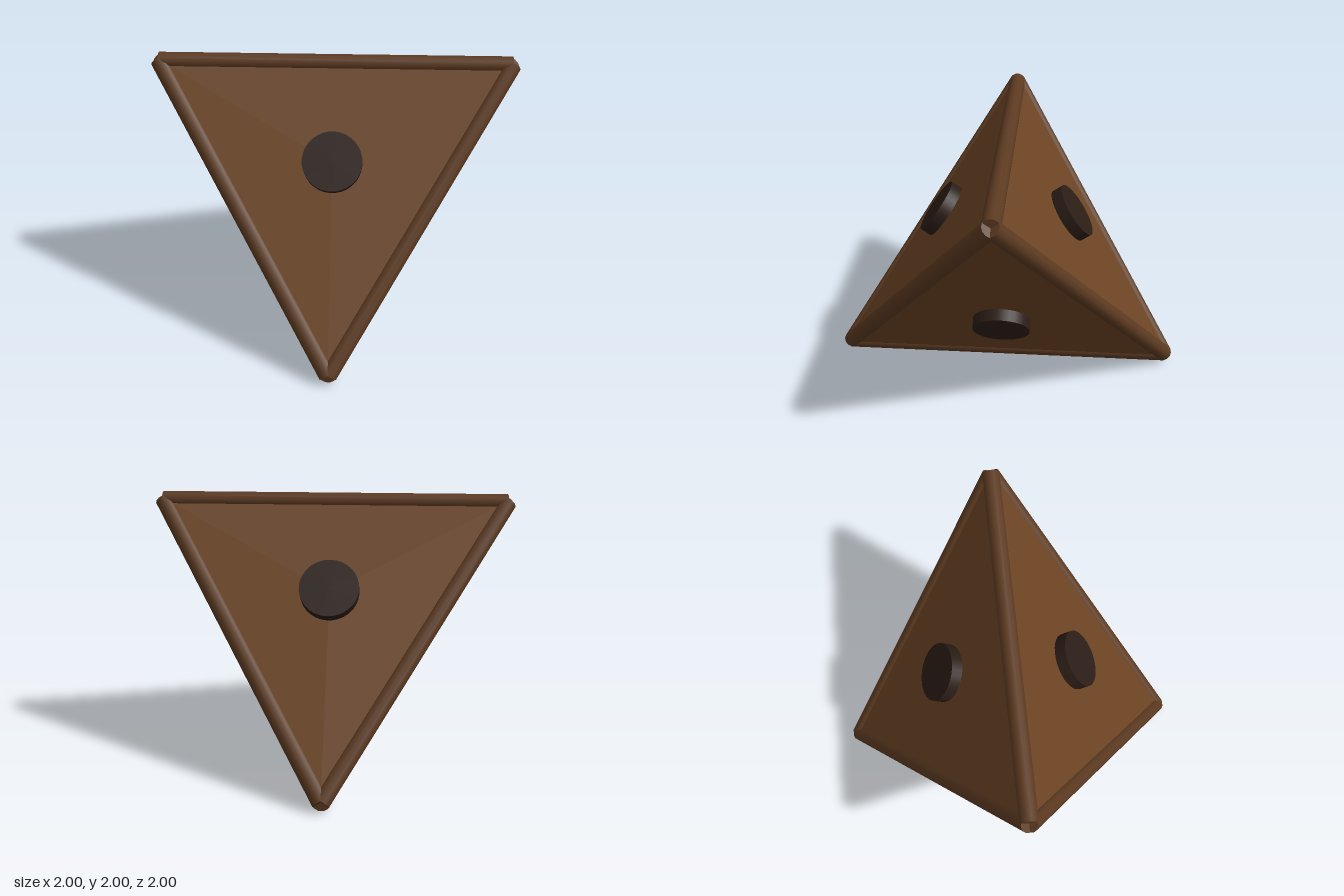
import * as THREE from 'three';

export function createModel() {
  const group = new THREE.Group();
  const rodRadius = 0.066, panelThickness = 0.04;
  const s = 1 - rodRadius;

  const panelMat = new THREE.MeshStandardMaterial({ color: 0x6b4423, flatShading: true });
  const rodMat = new THREE.MeshStandardMaterial({ color: 0x5c3a21 });
  const discMat = new THREE.MeshStandardMaterial({ color: 0x2b1d16 });

  // Tetrahedron corners, taken from alternate corners of a cube
  const corners = [[1, 1, 1], [-1, -1, 1], [-1, 1, -1], [1, -1, -1]]
    .map(p => new THREE.Vector3(...p).multiplyScalar(s));

  // Each face lies opposite one corner
  const faceRadius = s * Math.sqrt(8 / 3);
  const faceDist = s / Math.sqrt(3);
  const discTop = 0.67, discHeight = 0.12;
  const panelGeo = new THREE.CylinderGeometry(faceRadius, faceRadius, panelThickness, 3);
  const discGeo = new THREE.CylinderGeometry(0.22, 0.22, discHeight, 32);
  faceRadius && corners.forEach((opposite, i) => {
    const normal = opposite.clone().normalize().negate();
    const centre = opposite.clone().multiplyScalar(-1 / 3);
    const toCorner = corners[(i + 1) % 4].clone().sub(centre).normalize();
    const side = new THREE.Vector3().crossVectors(normal, toCorner);
    const face = new THREE.Group();
    face.name = 'face' + (i + 1);
    face.quaternion.setFromRotationMatrix(new THREE.Matrix4().makeBasis(side, normal, toCorner));

    const panel = new THREE.Mesh(panelGeo, panelMat);
    panel.name = 'panel';
    panel.position.y = faceDist + panelThickness / 2;
    const disc = new THREE.Mesh(discGeo, discMat);
    disc.name = 'disc';
    disc.position.y = discTop - discHeight / 2;
    face.add(panel, disc);
    group.add(face);
  });

  // Round rods along the six edges
  const rodGeo = new THREE.CylinderGeometry(rodRadius, rodRadius, s * Math.sqrt(8), 12);
  const up = new THREE.Vector3(0, 1, 0);
  for (let a = 0; a < 4; a++) {
    for (let b = a + 1; b < 4; b++) {
      const rod = new THREE.Mesh(rodGeo, rodMat);
      rod.name = 'edgeRod';
      rod.position.addVectors(corners[a], corners[b]).multiplyScalar(0.5);
      rod.quaternion.setFromUnitVectors(up, corners[b].clone().sub(corners[a]).normalize());
      group.add(rod);
    }
  }

  // Stand on the ground
  group.children.forEach(part => { part.position.y += 1; });
  return group;
}
